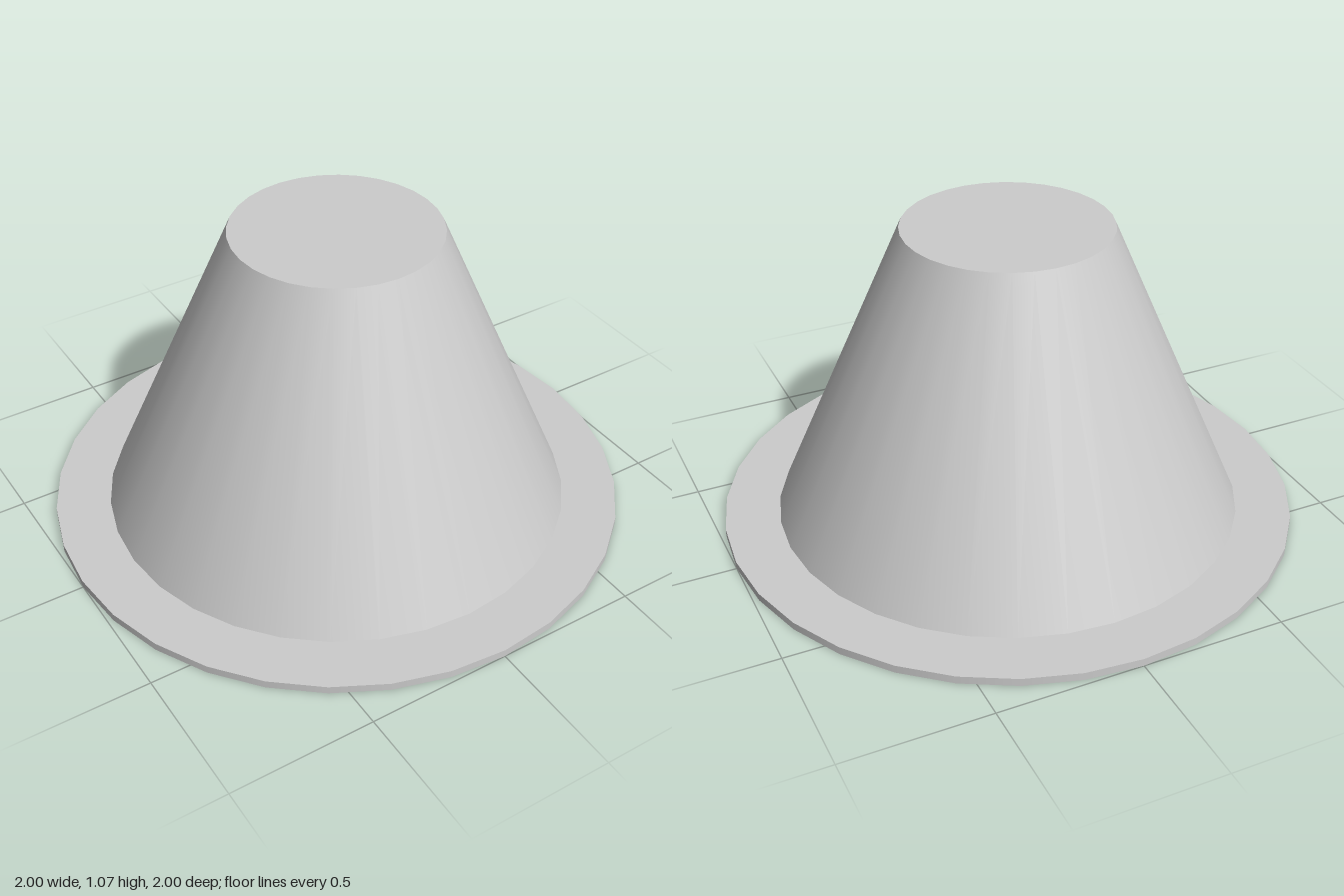
import * as THREE from 'three';

const SEGMENTS = 32;
const TOP = 1.07, RIM = 0.027, R_TOP = 0.355, R_BASE = 0.81;

export function createModel() {
  const group = new THREE.Group();
  const grey = new THREE.MeshStandardMaterial({ color: 0xcccccc, side: THREE.DoubleSide });
  const warm = new THREE.MeshStandardMaterial({ color: 0xe0d3a5, side: THREE.DoubleSide });

  const add = (name, geometry, material, y = 0) => {
    const mesh = new THREE.Mesh(geometry, material);
    mesh.name = name;
    mesh.position.y = y;
    group.add(mesh);
    return mesh;
  };

  // Thin tapered shade, open below
  const height = TOP - RIM;
  add('shade', new THREE.CylinderGeometry(R_TOP, R_BASE, height, SEGMENTS, 1, true), grey, RIM + height / 2);

  // Flat cap closing the top
  add('topCap', new THREE.CircleGeometry(R_TOP, SEGMENTS).rotateX(-Math.PI / 2), grey, TOP);

  // Mounting flange: flat rings joined by short upright walls
  const ring = () => new THREE.RingGeometry(R_BASE, 1, SEGMENTS);
  add('flangeTop', ring().rotateX(-Math.PI / 2), grey, RIM);
  add('flangeBottom', ring().rotateX(Math.PI / 2), grey);
  for (const [name, r] of [['flangeOuterEdge', 1], ['flangeInnerEdge', R_BASE]]) {
    add(name, new THREE.CylinderGeometry(r, r, RIM, SEGMENTS, 1, true), grey, RIM / 2);
  }

  // Shallow diffuser bulging downward inside the shade
  const dome = new THREE.SphereGeometry(1, SEGMENTS, 10, 0, Math.PI * 2, Math.PI / 2, Math.PI / 2);
  add('diffuser', dome.scale(0.54, 0.27, 0.54), warm, 0.57);

  return group;
}
